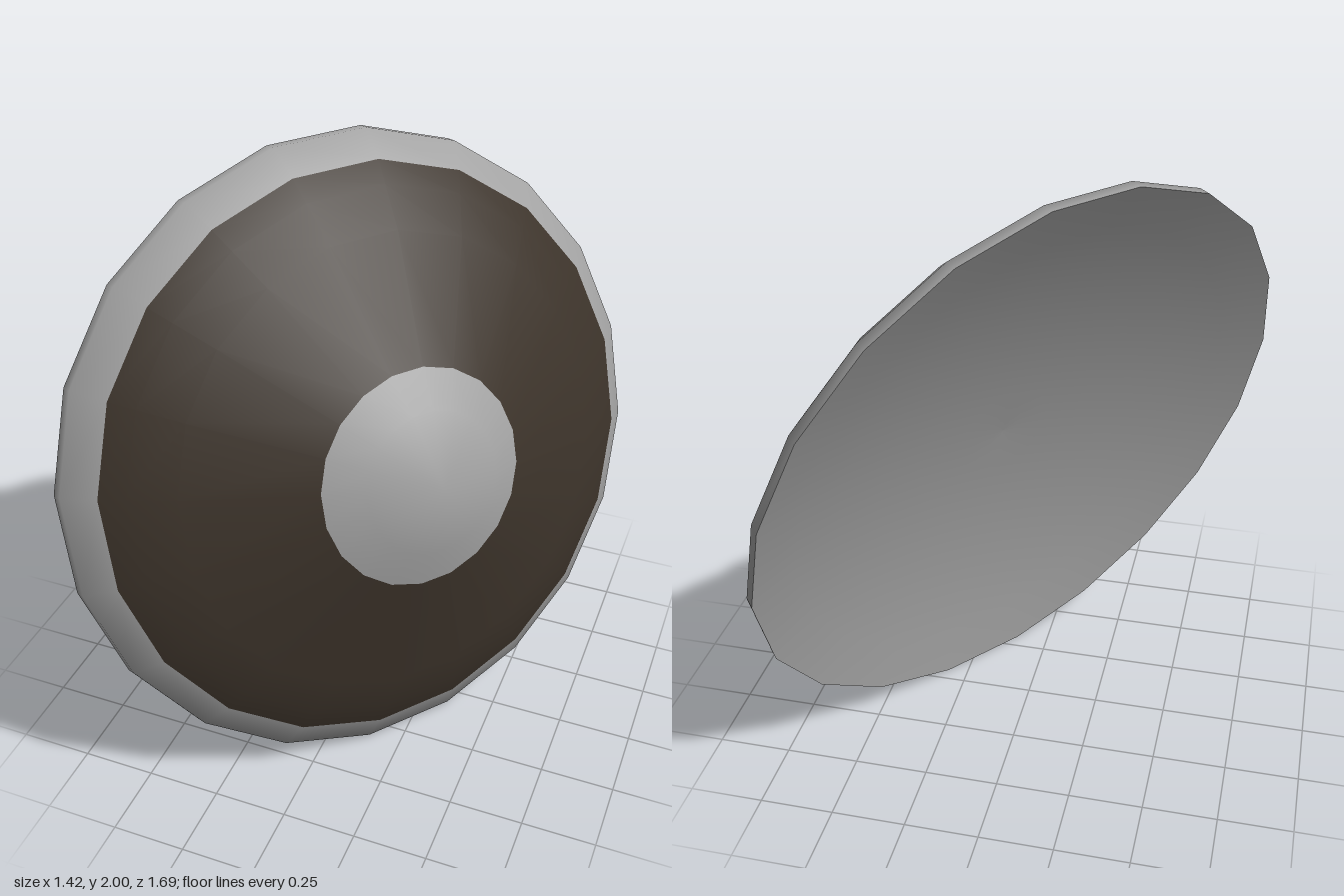
import * as THREE from 'three';

const SIDES = 20;

// Radius, height and material index of the band that starts there: 0 = metal, 1 = leather
const frontProfile = [
  [1.052, 0, 0], [1.047, 0.04, 0], [0.955, 0.117, 1], [0.88, 0.16, 1], [0.75, 0.237, 1],
  [0.353, 0.392, 0], [0.23, 0.46, 0], [0, 0.524, 0],
];

function lathe(points) {
  const pts = points.map(([r, h]) => new THREE.Vector2(r, h));
  return new THREE.LatheGeometry(pts, SIDES, Math.PI / SIDES);
}

export function createModel() {
  const metal = new THREE.MeshStandardMaterial({ color: 0xa3a3a3 });
  metal.name = 'grey metal';
  const leather = new THREE.MeshStandardMaterial({ color: 0x3c332a });
  leather.name = 'dark brown leather';

  const shield = new THREE.Group();
  shield.name = 'roundShield';

  // Domed front: metal rim, dark field and metal boss share smooth normals
  const frontGeo = lathe(frontProfile);
  const indices = Array.from(frontGeo.index.array);
  const bands = [[], []];
  const rows = frontProfile.length;
  for (let t = 0; t < indices.length; t += 3) {
    const tri = indices.slice(t, t + 3);
    const row = Math.min(...tri.map((i) => i % rows));
    bands[frontProfile[row][2]].push(...tri);
  }
  frontGeo.setIndex([...bands[0], ...bands[1]]);
  frontGeo.addGroup(0, bands[0].length, 0);
  frontGeo.addGroup(bands[0].length, bands[1].length, 1);
  // Round off the shading at the tip of the boss
  for (let i = 0; i <= SIDES; i++) {
    frontGeo.attributes.normal.setXYZ(i * rows + rows - 1, 0, 1, 0);
  }
  const front = new THREE.Mesh(frontGeo, [metal, leather]);
  front.name = 'domedFront';
  shield.add(front);

  // Dished back
  const backPoints = [];
  for (let i = 0; i <= 6; i++) {
    const f = i / 6;
    backPoints.push([1.052 * f, 0.165 * (1 - f * f)]);
  }
  const back = new THREE.Mesh(lathe(backPoints), metal);
  back.name = 'dishedBack';
  shield.add(back);

  // Lean the shield: its axis points forward, to its left and a little up
  const axis = new THREE.Vector3(0.744, 0.286, 0.603).normalize();
  const up = new THREE.Vector3(0, 1, 0).addScaledVector(axis, -axis.y).normalize();
  const side = new THREE.Vector3().crossVectors(axis, up);
  shield.quaternion.setFromRotationMatrix(new THREE.Matrix4().makeBasis(side, axis, up));
  shield.position.set(0, 1, 0).addScaledVector(axis, -0.018);

  const model = new THREE.Group();
  model.name = 'shieldModel';
  model.add(shield);
  return model;
}
